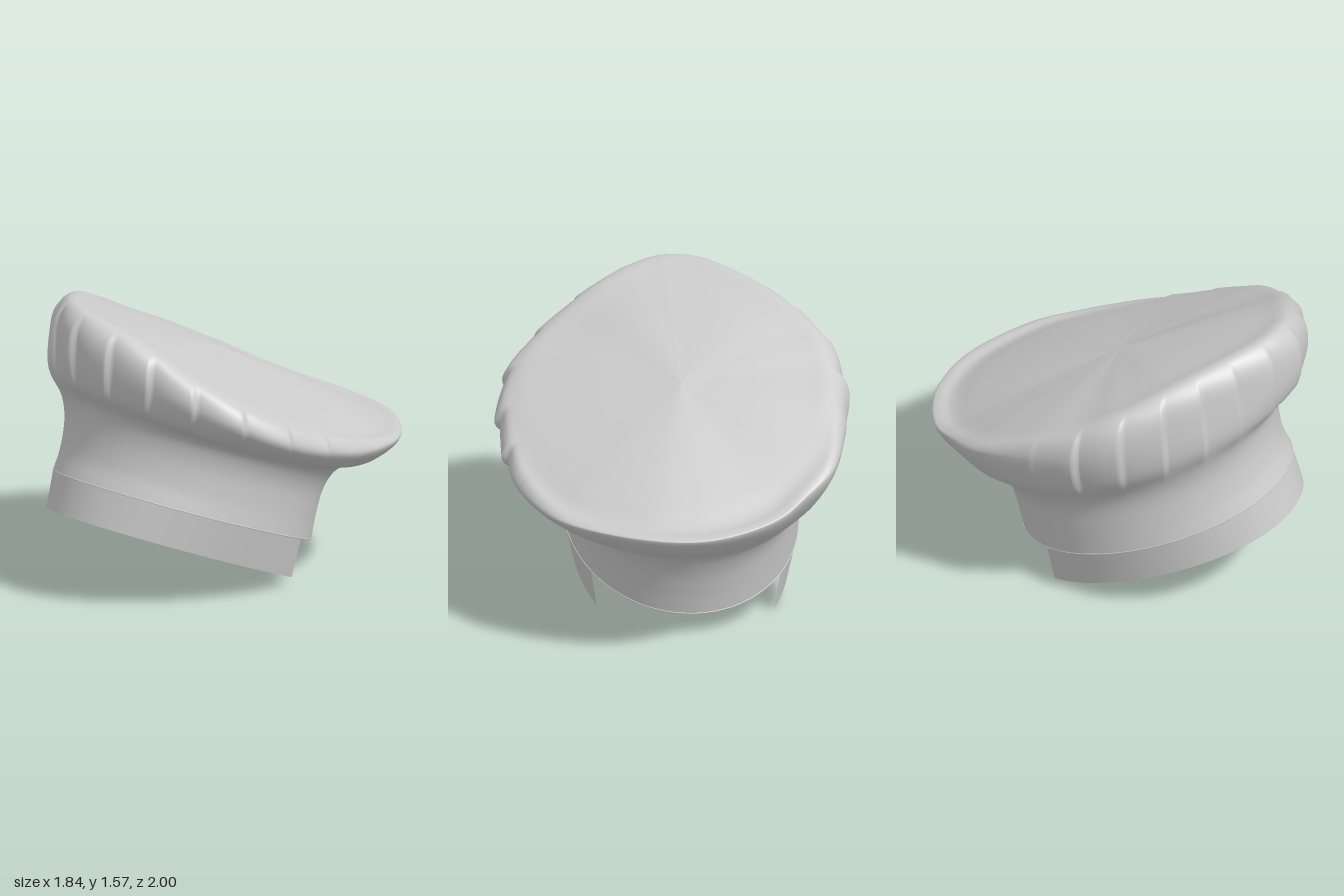
import * as THREE from 'three';

const V = (x, y, z) => new THREE.Vector3(x, y, z);
const { clamp, smoothstep, degToRad, radToDeg } = THREE.MathUtils;
const COLS = 480, ROWS = 50;

// Tilted elliptical ring: front [z, y], back [z, y], and its x range
const RINGS = [
  { f: [0.93, 0.65], b: [-0.50, 0.12], x: [-0.67, 0.56] },
  { f: [0.88, 0.76], b: [-0.53, 0.25], x: [-0.67, 0.56] },
  { f: [0.85, 0.92], b: [-0.58, 0.40], x: [-0.68, 0.58] },
  { f: [0.86, 1.05], b: [-0.65, 0.51], x: [-0.72, 0.64] },
];
function ringPoint({ f, b, x }, a) {
  const c = (1 + Math.cos(a)) / 2;
  return V((x[0] + x[1]) / 2 + (x[1] - x[0]) / 2 * Math.sin(a),
    b[1] + (f[1] - b[1]) * c, b[0] + (f[0] - b[0]) * c);
}

// Widest line of the puffed crown, from the front round by +x
const crownLine = new THREE.CatmullRomCurve3([
  [0, 1.36, 0.99], [0.2, 1.33, 0.95], [0.4, 1.27, 0.87], [0.65, 1.15, 0.73],
  [0.82, 1.05, 0.56], [0.9, 0.95, 0.35], [0.91, 0.86, 0.1], [0.88, 0.79, -0.2],
  [0.8, 0.76, -0.45], [0.66, 0.75, -0.68], [0.3, 0.75, -0.93], [0, 0.75, -1],
  [-0.23, 0.77, -0.97], [-0.45, 0.81, -0.88], [-0.6, 0.87, -0.76], [-0.76, 0.94, -0.6],
  [-0.86, 1.02, -0.3], [-0.91, 1.08, 0], [-0.88, 1.16, 0.23], [-0.7, 1.27, 0.52],
  [-0.4, 1.35, 0.82], [-0.2, 1.37, 0.95],
].map((p) => V(...p)), true);

// Overlapping folds: slow rise, then a sharp drop at each crease
function pleat(a, row) {
  const deg = radToDeg(a);
  const k = ((deg - 1 + 720) / 16) % 1;
  const saw = k < 0.92 ? k / 0.92 : (1 - k) / 0.08;
  const around = 1 - smoothstep(Math.abs(deg), 98, 116);
  const height = Math.sin(Math.PI * clamp((row - 3.2) / 3.6, 0, 1));
  return 0.03 * (saw - 0.6) * around * height;
}

// One upright section of the hat, from the rim to the middle of the top
function column(t) {
  const edge = crownLine.getPointAt(t);
  const a = Math.atan2(edge.x + 0.03, edge.z - 0.1);
  const out = V(Math.sin(a), 0, Math.cos(a));
  const rise = 0.02 + 0.18 * smoothstep(edge.z, -0.95, 0.25) * (1 - 0.4 * Math.max(0, out.x));
  const middle = V(-0.03, 1.16, 0);

  const pts = RINGS.map((r) => ringPoint(r, a));
  pts[3].y -= 0.03 * Math.abs(out.x);
  pts.push(pts[3].clone().lerp(edge, 0.5).addScaledVector(out, 0.035).add(V(0, -0.025, 0)));
  pts.push(edge);
  pts.push(edge.clone().addScaledVector(out, -0.03).add(V(0, rise * 0.7, 0)));
  const top = edge.clone().addScaledVector(out, -0.1).add(V(0, rise, 0));
  pts.push(top);
  for (const s of [0.15, 0.5, 1]) {
    const p = top.clone().lerp(middle, s);
    p.y += 0.06 * (1 - (1 - s) ** 2);
    pts.push(p);
  }

  const curve = new THREE.CatmullRomCurve3(pts);
  return Array.from({ length: ROWS + 1 }, (_, j) => {
    const u = j / ROWS;
    return curve.getPoint(u).addScaledVector(out, pleat(a, u * (pts.length - 1)));
  });
}

// Surface through columns of points
function loft(columns, closed) {
  const rows = columns[0].length, n = columns.length, index = [];
  for (let i = 0; i < (closed ? n : n - 1); i++) {
    for (let j = 0; j < rows - 1; j++) {
      const a = i * rows + j, b = ((i + 1) % n) * rows + j;
      index.push(a, b, b + 1, a, b + 1, a + 1);
    }
  }
  const geo = new THREE.BufferGeometry().setFromPoints(columns.flat());
  geo.setIndex(index);
  geo.computeVertexNormals();
  return geo;
}

export function createModel() {
  const group = new THREE.Group();
  const cloth = new THREE.MeshStandardMaterial({ color: 0xcccccc, side: THREE.DoubleSide });
  const add = (name, geo) => {
    const mesh = new THREE.Mesh(geo, cloth);
    mesh.name = name;
    group.add(mesh);
  };

  // Hollow hat body with pleated crown
  add('pleatedCrown', loft(Array.from({ length: COLS }, (_, i) => column(i / COLS)), true));

  // Thin hem around the opening
  const hem = Array.from({ length: 48 }, (_, i) => ringPoint(RINGS[0], i / 48 * Math.PI * 2));
  add('hem', new THREE.TubeGeometry(new THREE.CatmullRomCurve3(hem, true), 96, 0.004, 6, true));

  // Open head band hanging below the front and sides, drawn in at the sides
  const start = degToRad(-131), end = degToRad(122);
  const band = [];
  for (let i = 0; i <= 64; i++) {
    const a = start + (end - start) * i / 64;
    const p = ringPoint(RINGS[0], a);
    const back = (1 - Math.cos(a)) / 2;
    const inward = -0.045 * Math.sin(a) * Math.abs(Math.sin(a));
    band.push([p.clone().add(V(inward, -0.19 - 0.03 * back, 0.06 - 0.03 * back)), p]);
  }
  add('headBand', loft(band, false));

  return group;
}
